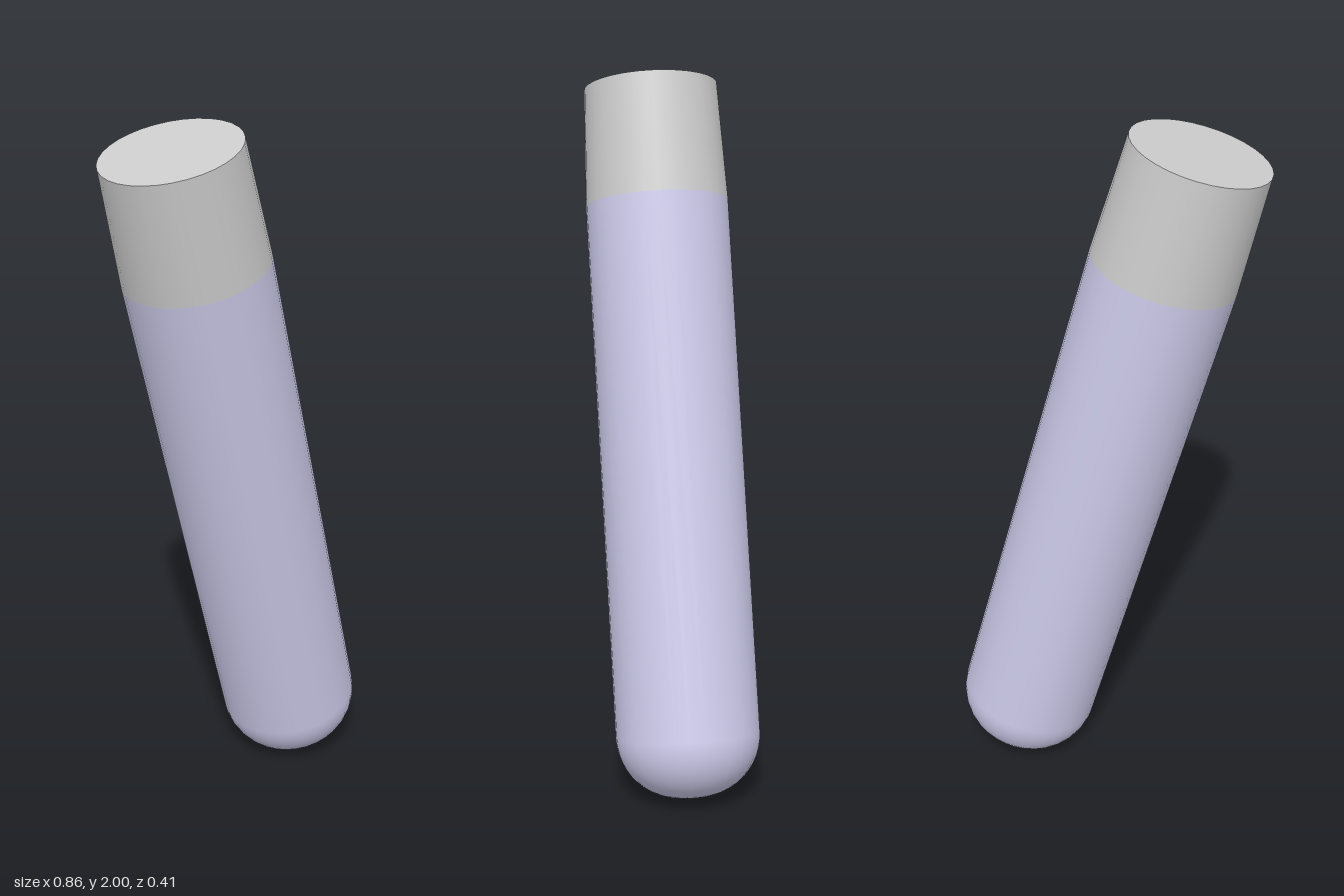
import * as THREE from 'three';

const SIDES = 32;
const R = 0.203;          // body radius
const CAP_H = 0.334;
const CAP_TOP_R = 0.19;
const BODY_L = 1.498;     // straight part of the body, below the seam
const FILLET = 0.173;     // rounding radius of the closed end

export function createModel() {
  const model = new THREE.Group();
  model.name = 'tiltedTube';

  // Leaning assembly, with its origin at the seam between cap and body
  const lean = new THREE.Group();
  lean.name = 'leaningTube';
  lean.position.set(-0.16, 1.628, 0);
  lean.rotation.z = THREE.MathUtils.degToRad(15);
  model.add(lean);

  // Long body with a rounded closed end
  const profile = [new THREE.Vector2(0, -BODY_L - FILLET)];
  const steps = 12;
  for (let i = 0; i <= steps; i++) {
    const a = (i / steps) * Math.PI / 2;
    profile.push(new THREE.Vector2(
      R - FILLET + FILLET * Math.sin(a),
      -BODY_L - FILLET * Math.cos(a)));
  }
  profile.push(new THREE.Vector2(R, 0));
  const body = new THREE.Mesh(
    new THREE.LatheGeometry(profile, SIDES),
    new THREE.MeshStandardMaterial({ color: 0xcbc9e8, side: THREE.DoubleSide }));
  body.name = 'roundedBody';
  lean.add(body);

  // Slightly tapered flat-topped cap
  const cap = new THREE.Mesh(
    new THREE.CylinderGeometry(CAP_TOP_R, R, CAP_H, SIDES),
    new THREE.MeshStandardMaterial({ color: 0xcccccc }));
  cap.name = 'taperedCap';
  cap.position.y = CAP_H / 2;
  lean.add(cap);

  return model;
}
